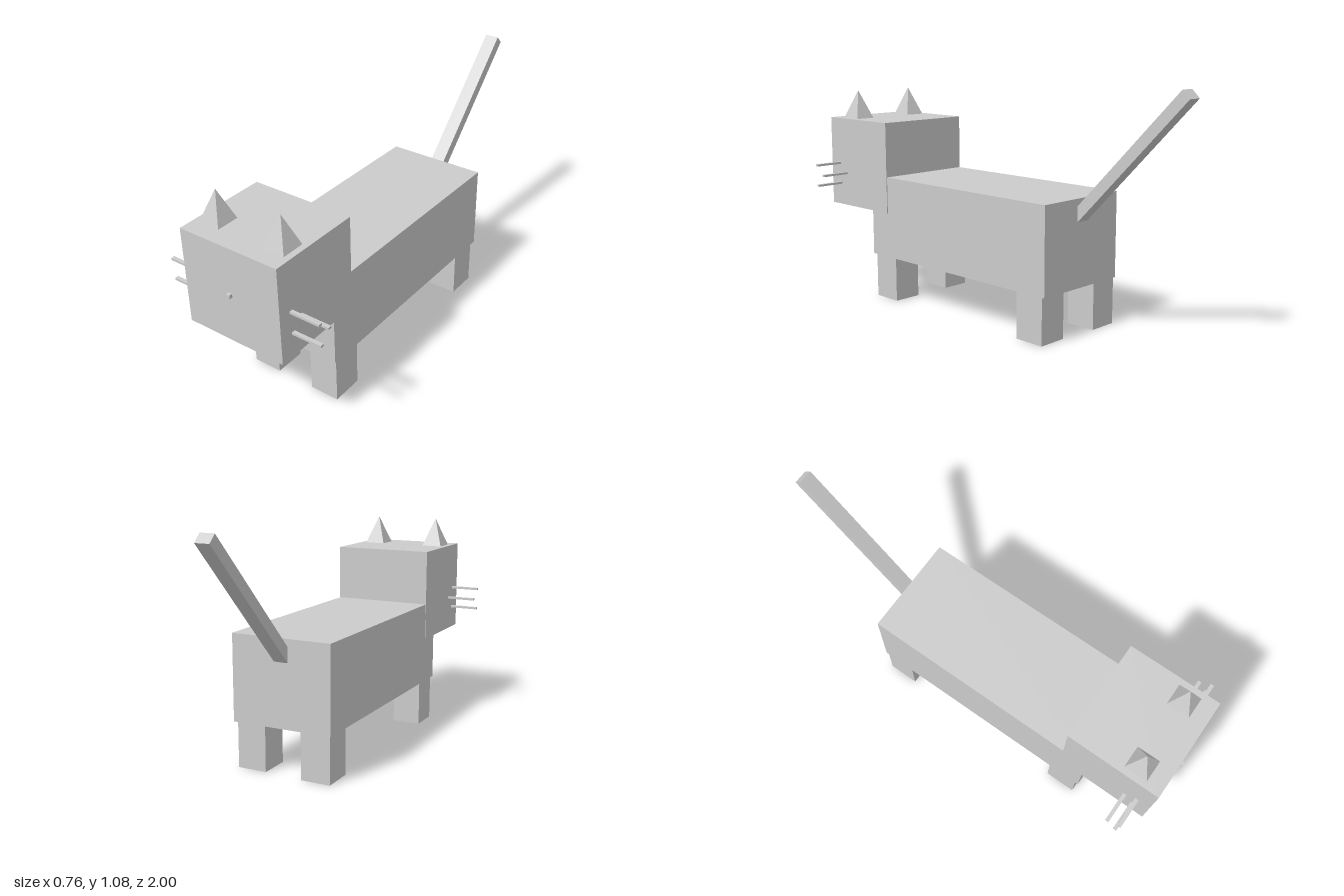
import * as THREE from 'three';

const material = new THREE.MeshStandardMaterial({ color: 0xcccccc, flatShading: true });

function add(group, name, geometry, x, y, z) {
  const mesh = new THREE.Mesh(geometry, material);
  mesh.name = name;
  mesh.position.set(x, y, z);
  group.add(mesh);
  return mesh;
}

// Box given by its lower and upper limits on each axis
function box(group, name, [x0, x1], [y0, y1], [z0, z1]) {
  return add(group, name, new THREE.BoxGeometry(x1 - x0, y1 - y0, z1 - z0),
    (x0 + x1) / 2, (y0 + y1) / 2, (z0 + z1) / 2);
}

export function createModel() {
  const cat = new THREE.Group();
  cat.name = 'cat';

  box(cat, 'body', [-0.237, 0.235], [0.213, 0.605], [-0.465, 0.665]);
  box(cat, 'head', [-0.239, 0.239], [0.43, 0.866], [0.55, 0.985]);
  box(cat, 'nose', [-0.012, 0.006], [0.645, 0.662], [0.97, 1.0]);

  // Legs: the right hind leg stands slightly further back
  const legs = [
    ['leftFrontLeg', 0.09, 0.505], ['rightFrontLeg', -0.23, 0.505],
    ['leftHindLeg', 0.09, -0.445], ['rightHindLeg', -0.23, -0.46],
  ];
  for (const [name, x, z] of legs) box(cat, name, [x, x + 0.137], [0, 0.22], [z, z + 0.145]);

  for (const [side, s] of [['left', 1], ['right', -1]]) {
    // Ears: square pyramids with sides along the axes
    const ear = new THREE.ConeGeometry(0.05 * Math.SQRT2, 0.137, 4).rotateY(Math.PI / 4);
    ear.scale(1, 1, 1.06);
    add(cat, side + 'Ear', ear, s * 0.161, 0.9345, 0.858);

    // Whiskers: three thin bars on each cheek
    for (const [y, z] of [[0.64, 0.921], [0.593, 0.868], [0.539, 0.915]]) {
      add(cat, side + 'Whisker', new THREE.BoxGeometry(0.16, 0.01, 0.017), s * 0.298, y, z);
    }
  }

  // Tail: square bar rising from the rump
  const start = new THREE.Vector3(-0.003, 0.515, -0.443);
  const tip = new THREE.Vector3(-0.003, 1.066, -0.982);
  const mid = start.clone().lerp(tip, 0.5);
  const tail = add(cat, 'tail', new THREE.BoxGeometry(0.066, 0.049, start.distanceTo(tip)), mid.x, mid.y, mid.z);
  tail.lookAt(tip);

  return cat;
}
